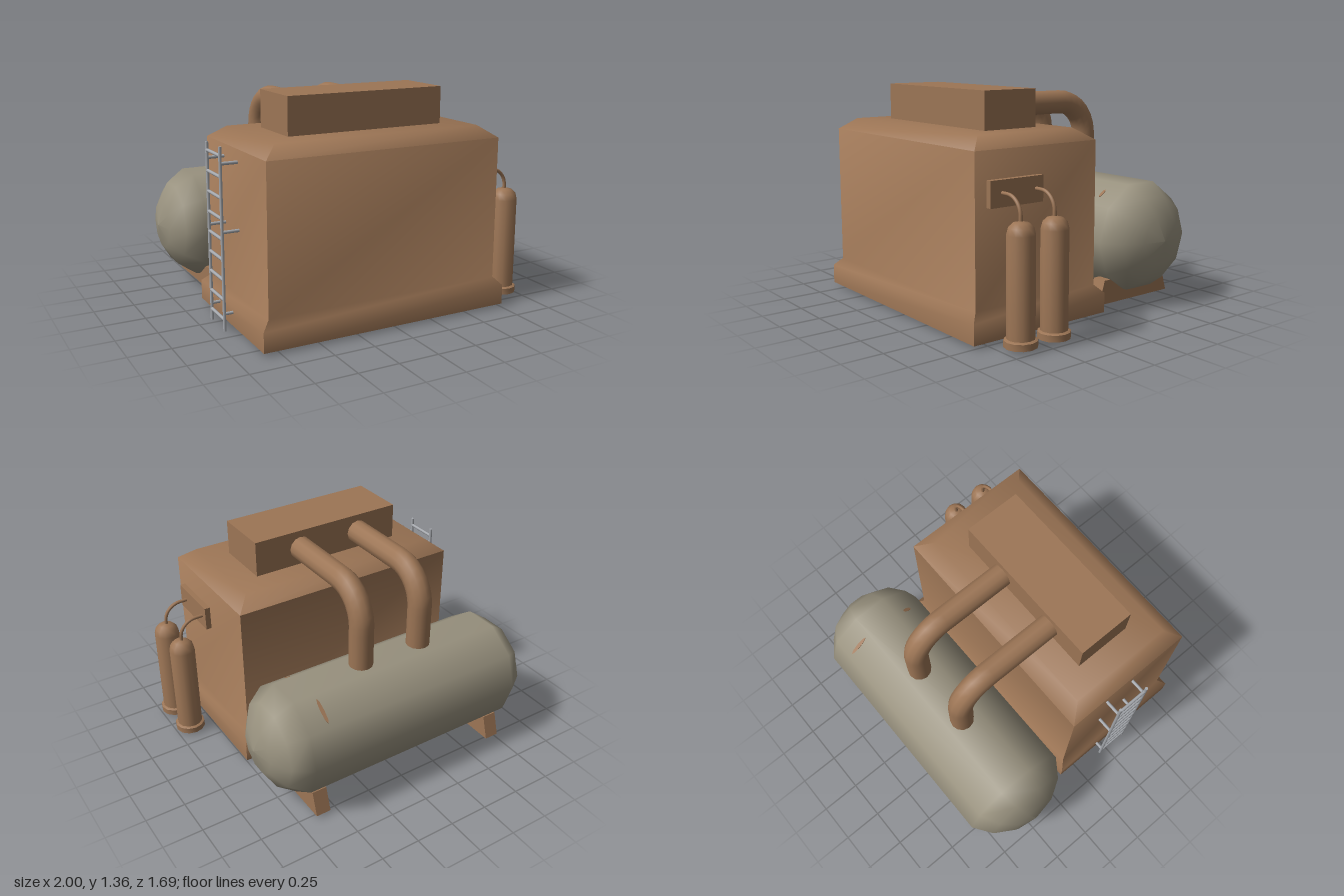
import * as THREE from 'three';
import { toCreasedNormals } from 'three/addons/utils/BufferGeometryUtils.js';

const material = (name, color) => {
  const m = new THREE.MeshStandardMaterial({ color });
  m.name = name;
  return m;
};

// Closed solid from stacked rectangles [y, x0, x1, z0, z1], bottom to top
function stackedBox(rings) {
  const pos = [], idx = [];
  for (const [y, x0, x1, z0, z1] of rings) pos.push(x0, y, z1, x1, y, z1, x1, y, z0, x0, y, z0);
  const last = (rings.length - 1) * 4;
  for (let r = 0; r < last; r += 4) {
    for (let i = 0; i < 4; i++) {
      const a = r + i, b = r + (i + 1) % 4;
      idx.push(a, b, b + 4, a, b + 4, a + 4);
    }
  }
  idx.push(0, 2, 1, 0, 3, 2, last, last + 1, last + 2, last, last + 2, last + 3);
  const g = new THREE.BufferGeometry();
  g.setAttribute('position', new THREE.Float32BufferAttribute(pos, 3));
  g.setIndex(idx);
  return toCreasedNormals(g.toNonIndexed(), 0.95);
}

// Straight run, quarter bend and straight run
function bentPath(start, bendStart, corner, bendEnd, end) {
  const v = (p) => new THREE.Vector3(...p);
  const k = 0.552;
  const path = new THREE.CurvePath();
  path.add(new THREE.LineCurve3(v(start), v(bendStart)));
  path.add(new THREE.CubicBezierCurve3(v(bendStart), v(bendStart).lerp(v(corner), k),
    v(bendEnd).lerp(v(corner), k), v(bendEnd)));
  path.add(new THREE.LineCurve3(v(bendEnd), v(end)));
  return path;
}

const lathe = (points, sides) =>
  toCreasedNormals(new THREE.LatheGeometry(points.map((p) => new THREE.Vector2(...p)), sides).toNonIndexed(), 0.8);

export function createModel() {
  const model = new THREE.Group();
  model.name = 'boilerUnit';
  const rust = material('rustBrown', 0x9c7555);
  const tankGrey = material('warmGrey', 0x99927f);
  const steel = material('steelGrey', 0xa6a9ae);

  const add = (name, geometry, mat, x = 0, y = 0, z = 0, parent = model) => {
    const mesh = new THREE.Mesh(geometry, mat);
    mesh.name = name;
    mesh.position.set(x, y, z);
    parent.add(mesh);
    return mesh;
  };

  // Main housing with flared foot and bevelled roof
  add('housing', stackedBox([
    [0.02, -0.85, 0.755, -0.12, 0.845],
    [0.14, -0.85, 0.755, -0.12, 0.845],
    [0.19, -0.80, 0.71, -0.07, 0.80],
    [1.06, -0.80, 0.71, -0.07, 0.80],
    [1.13, -0.71, 0.615, 0.03, 0.71],
  ]), rust);
  add('roofBox', new THREE.BoxGeometry(1.015, 0.235, 0.37), rust, -0.0475, 1.2375, 0.363);

  // Horizontal ten-sided tank with rounded ends
  const cap = [[0, 0.945], [0.15, 0.918], [0.27, 0.846], [0.35, 0.732]];
  const profile = [...cap.map(([r, h]) => [r, -h]), ...cap.slice().reverse()];
  const tankGeometry = new THREE.LatheGeometry(profile.map((p) => new THREE.Vector2(...p)), 10);
  tankGeometry.rotateZ(-Math.PI / 2);
  add('tank', tankGeometry, tankGrey, -0.055, 0.425, -0.495);

  // Rust patches on the upper tank facets
  for (const [side, length] of [[-1, 0.13], [1, 0.055]]) {
    const a = Math.PI * 0.3;
    const patch = add('rustPatch', new THREE.CylinderGeometry(1, 1, 0.006, 8), rust,
      0.54, 0.425 + 0.333 * Math.sin(a), -0.495 + side * 0.333 * Math.cos(a));
    patch.scale.set(0.012, 1, length * 0.6);
    patch.rotation.x = side * (Math.PI / 2 - a);
  }

  // Tank saddles
  const saddle = new THREE.Shape([[0.185, 0.02], [0.785, 0.02], [0.74, 0.17], [0.23, 0.17]]
    .map((p) => new THREE.Vector2(...p)));
  const saddleGeometry = new THREE.ExtrudeGeometry(saddle, { depth: 0.095, bevelEnabled: false });
  saddleGeometry.rotateY(Math.PI / 2);
  for (const x of [-0.76, 0.55]) add('tankSaddle', saddleGeometry, rust, x);

  // Large pipes from the roof box down into the tank
  const pipePath = bentPath([0, 1.24, 0.2], [0, 1.24, -0.28], [0, 1.24, -0.495], [0, 1.02, -0.495], [0, 0.7, -0.495]);
  const pipeGeometry = new THREE.TubeGeometry(pipePath, 24, 0.074, 12);
  for (const x of [-0.275, 0.147]) add('tankPipe', pipeGeometry, rust, x);

  // Gas bottles with hoses to a wall plate
  add('hosePlate', new THREE.BoxGeometry(0.045, 0.15, 0.365), rust, 0.7225, 0.825, 0.54);
  const bottleGeometry = lathe([[0, 0.06], [0.08, 0.06], [0.08, 0.63], [0.07, 0.668], [0.045, 0.692], [0, 0.702]], 12);
  const footGeometry = lathe([[0, 0.02], [0.095, 0.02], [0.095, 0.058], [0.08, 0.066], [0, 0.066]], 12);
  const hosePath = bentPath([0.73, 0.828, 0], [0.79, 0.828, 0], [0.9, 0.828, 0], [0.9, 0.72, 0], [0.9, 0.68, 0]);
  const hoseGeometry = new THREE.TubeGeometry(hosePath, 20, 0.011, 8);
  for (const z of [0.408, 0.643]) {
    const bottle = new THREE.Group();
    bottle.name = 'gasBottle';
    bottle.position.z = z;
    add('bottleBody', bottleGeometry, rust, 0.903, 0, 0, bottle);
    add('bottleFoot', footGeometry, rust, 0.903, 0, 0, bottle);
    add('hose', hoseGeometry, rust, 0, 0, 0, bottle);
    model.add(bottle);
  }

  // Ladder on the right wall
  const ladder = new THREE.Group();
  ladder.name = 'ladder';
  model.add(ladder);
  const bar = (length) => new THREE.CylinderGeometry(0.01, 0.01, length, 8);
  const railGeometry = bar(1.08);
  const rungGeometry = bar(0.205).rotateX(Math.PI / 2);
  const bracketGeometry = bar(0.11).rotateZ(Math.PI / 2);
  for (const z of [0.2, 0.405]) {
    add('rail', railGeometry, steel, -0.902, 0.54, z, ladder);
    for (const y of [0.105, 0.59, 0.985]) add('wallBracket', bracketGeometry, steel, -0.847, y, z, ladder);
  }
  for (let i = 0; i < 9; i++) add('rung', rungGeometry, steel, -0.902, 0.07 + i * 0.12, 0.3025, ladder);

  return model;
}
